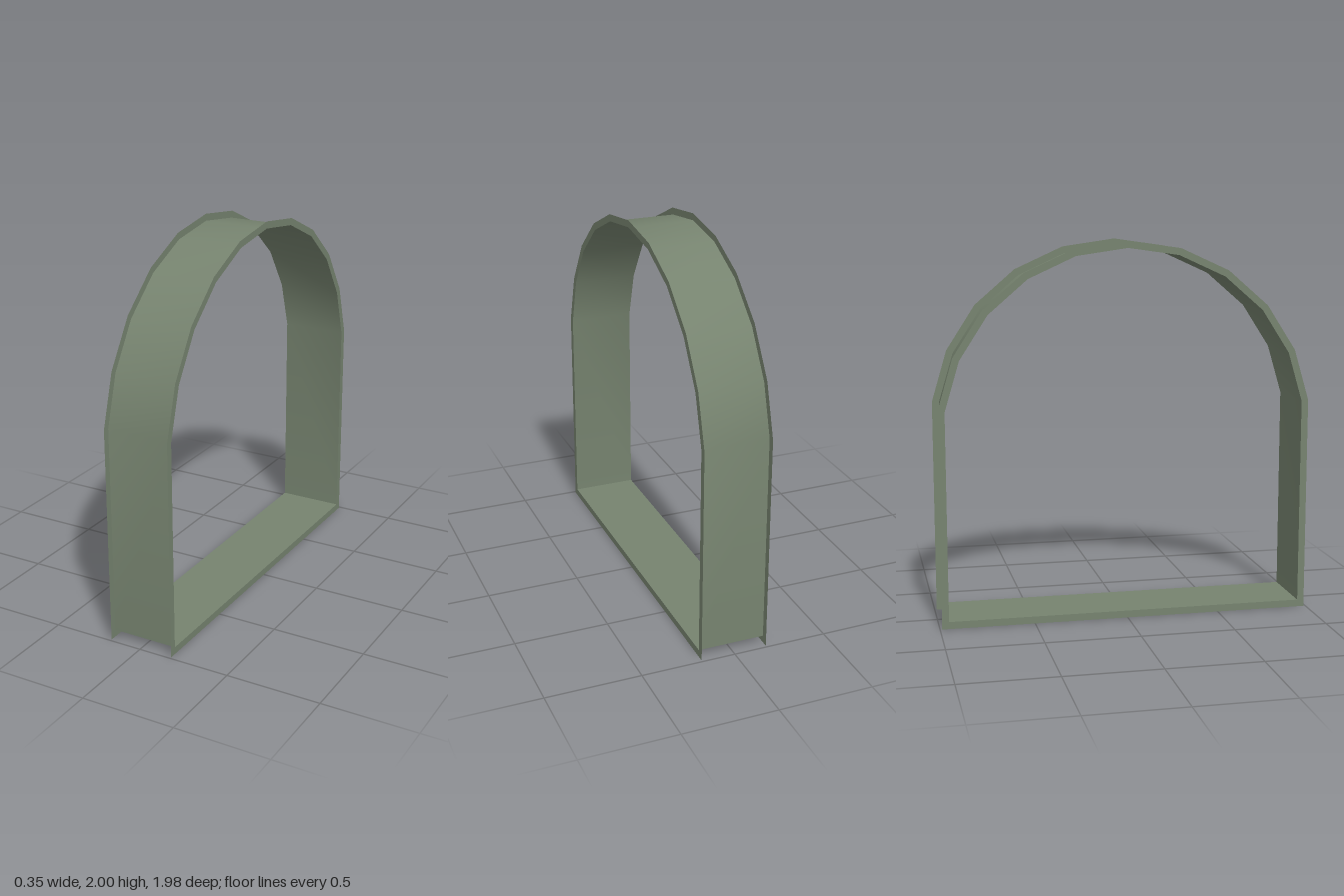
import * as THREE from 'three';
import { toCreasedNormals } from 'three/addons/utils/BufferGeometryUtils.js';

const HALF_WIDTH = 0.177, SEGMENTS = 10, HALF_ANGLE = 1.424, CENTRE_Y = 1;

// Arched outline as (z, y) points, from the +z foot over the top to the -z foot
function outline(radius, floorY) {
  const points = [];
  for (let i = 0; i <= SEGMENTS; i++) {
    const a = HALF_ANGLE * (1 - 2 * i / SEGMENTS);
    points.push(new THREE.Vector2(radius * Math.sin(a), CENTRE_Y + radius * Math.cos(a)));
  }
  const foot = points[0].x;
  return [new THREE.Vector2(foot, floorY), ...points, new THREE.Vector2(-foot, floorY)];
}

// Closed band of quads across the width, following an outline
function bandGeometry(points) {
  const positions = [], index = [], n = points.length;
  points.forEach((p, i) => {
    positions.push(-HALF_WIDTH, p.y, p.x, HALF_WIDTH, p.y, p.x);
    const a = 2 * i, b = 2 * ((i + 1) % n);
    index.push(a, a + 1, b + 1, a, b + 1, b);
  });
  const geometry = new THREE.BufferGeometry();
  geometry.setAttribute('position', new THREE.Float32BufferAttribute(positions, 3));
  geometry.setIndex(index);
  return toCreasedNormals(geometry, 0.7);
}

export function createModel() {
  const group = new THREE.Group();
  group.name = 'archedFrame';
  const material = new THREE.MeshStandardMaterial({ color: 0x76836f, side: THREE.DoubleSide });

  const outer = outline(1, 0);
  const inner = outline(0.963, 0.038);

  // Thin lining around the opening
  const lining = new THREE.Mesh(bandGeometry(inner), material);
  lining.name = 'lining';
  group.add(lining);

  // Flat trim on each side, standing outwards from the lining
  const trimShape = new THREE.Shape(outer);
  trimShape.holes.push(new THREE.Path(inner));
  for (const side of [1, -1]) {
    const trim = new THREE.Mesh(new THREE.ShapeGeometry(trimShape), material);
    trim.name = side > 0 ? 'leftTrim' : 'rightTrim';
    trim.rotation.y = side * Math.PI / 2;
    trim.position.x = side * HALF_WIDTH;
    group.add(trim);
  }
  return group;
}
